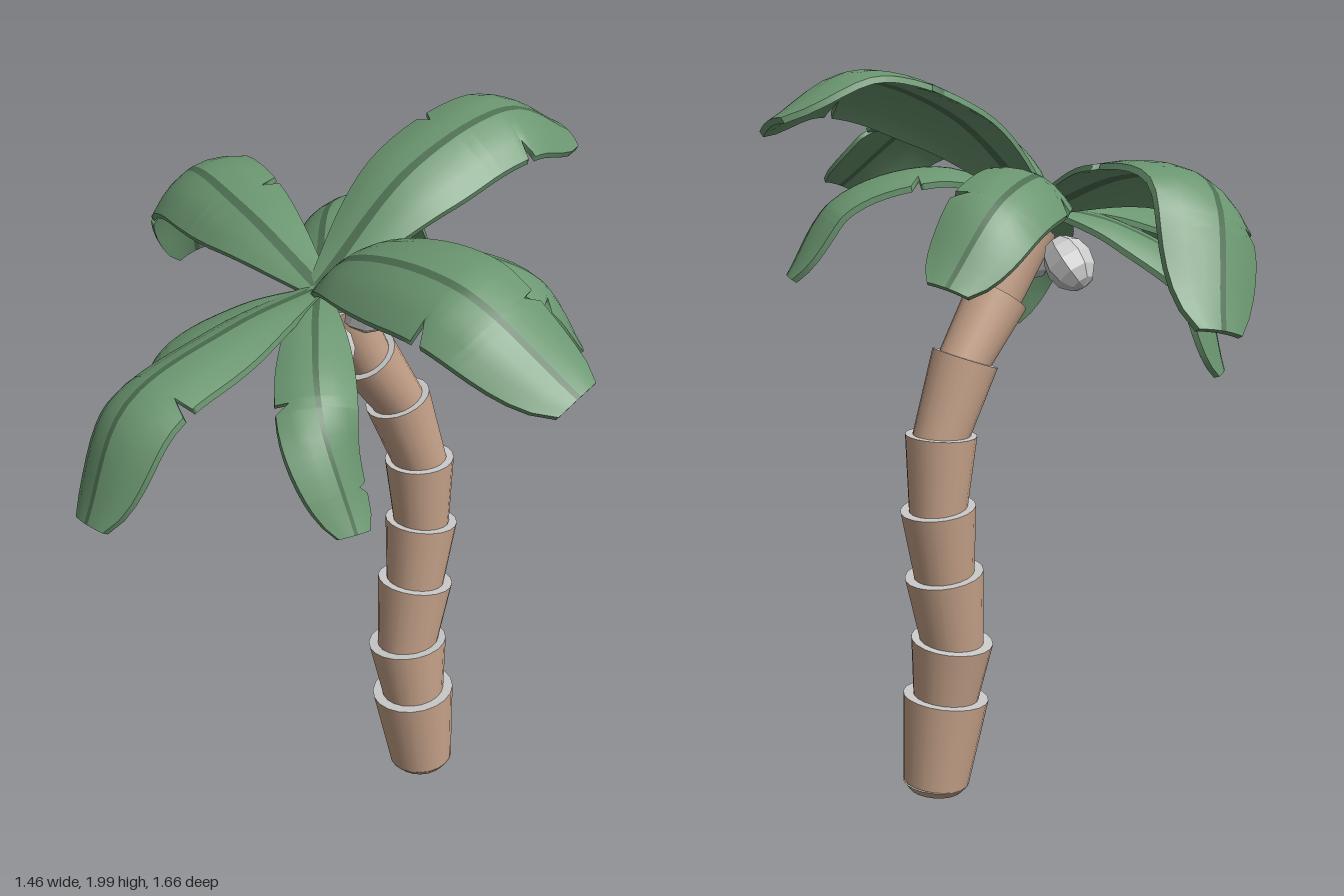
import * as THREE from 'three';
import { mergeGeometries } from 'three/addons/utils/BufferGeometryUtils.js';

const V = (x, y, z) => new THREE.Vector3(x, y, z);
const { lerp } = THREE.MathUtils;
const bark = new THREE.MeshStandardMaterial({ color: 0xc8a48b });
const grey = new THREE.MeshStandardMaterial({ color: 0xcccccc });
const nutMat = new THREE.MeshStandardMaterial({ color: 0xcccccc, flatShading: true });
const green = new THREE.MeshStandardMaterial({ color: 0x6b9670 });
const darkGreen = new THREE.MeshStandardMaterial({ color: 0x4c6e50 });

// Centres of the trunk joints, from the ground to the crown
const JOINTS = [
  V(0.286, 0.03, -0.05), V(0.254, 0.28, -0.047), V(0.237, 0.447, -0.058),
  V(0.26, 0.645, -0.07), V(0.277, 0.835, -0.081), V(0.265, 1.035, -0.077),
  V(0.193, 1.235, -0.06), V(0.093, 1.39, -0.02), V(0, 1.57, 0.01),
];
const CROWN = V(-0.05, 1.62, 0.035);

// Surface through rows of points
function grid(rows) {
  const n = rows[0].length, index = [];
  for (let i = 0; i < rows.length - 1; i++) {
    for (let j = 0; j < n - 1; j++) {
      const a = i * n + j, c = a + n;
      index.push(a, a + 1, c, a + 1, c + 1, c);
    }
  }
  const g = new THREE.BufferGeometry().setFromPoints(rows.flat());
  g.setIndex(index);
  g.computeVertexNormals();
  return g;
}

// Leaf width along its length: narrow stem, wide past the middle, blunt tip
function leafWidth(t) {
  const grow = 0.22 + 0.78 * Math.sin((Math.PI / 2) * Math.min(1, t / 0.52));
  const tip = t > 0.6 ? Math.sqrt(1 - ((t - 0.6) / 0.43) ** 3) : 1;
  return grow * tip;
}

// Share of the width left at t beside a notch: steep first side, sloping second side
function notchFactor(d) {
  if (d <= 0 || d >= 0.035) return 1;
  return d < 0.006 ? lerp(1, 0.68, d / 0.006) : lerp(0.68, 1, (d - 0.006) / 0.029);
}

// Arched leaf along a rib from the crown, with one notch in each edge; positive roll lifts the right edge
function makeLeaf(halfWidth, roll, leftNotch, rightNotch, ...ribPoints) {
  const curve = new THREE.CatmullRomCurve3([CROWN, ...ribPoints]);
  const chord = curve.getPoint(1).sub(CROWN).setY(0).normalize();
  const ts = Array.from({ length: 23 }, (_, i) => i / 22);
  for (const t of [leftNotch, rightNotch]) ts.push(t, t + 0.006, t + 0.035);
  ts.sort((a, b) => a - b);

  const top = [], under = [];
  for (const t of ts) {
    const p = curve.getPointAt(t), tangent = curve.getTangentAt(t);
    const side = tangent.clone().setY(0).addScaledVector(chord, 0.25).cross(V(0, 1, 0)).normalize();
    side.applyAxisAngle(tangent, -roll);
    const normal = side.clone().cross(tangent).normalize();
    const w = halfWidth * leafWidth(t), rib = 0.085 * halfWidth * (1.1 - 0.5 * t);
    const left = w * notchFactor(t - leftNotch), right = w * notchFactor(t - rightNotch);
    const steps = [0, 1 / 3, 2 / 3, 1];
    const across = [
      ...steps.map((k) => -lerp(left, rib, k)),
      ...steps.map((k) => lerp(rib, right, k)),
    ];
    const place = (x, depth) => p.clone().addScaledVector(side, x)
      .addScaledVector(normal, (-0.36 * x * x) / halfWidth - depth);
    top.push(across.map((x) => place(x, 0)));
    under.push(across.map((x) => place(x, 0.016)));
  }
  const cols = (rows, a, b) => rows.map((r) => r.slice(a, b));
  const flipped = (a, b) => cols(under, a, b).map((r) => r.reverse());
  const last = top.length - 1;
  const blade = new THREE.Mesh(mergeGeometries([
    grid(cols(top, 0, 4)), grid(cols(top, 4, 8)),
    grid(flipped(0, 4)), grid(flipped(4, 8)),
    grid(top.map((r, i) => [r[7], under[i][7]])),
    grid(top.map((r, i) => [under[i][0], r[0]])),
    grid([top[last], under[last]]), grid([under[0], top[0]]),
  ]), green);
  blade.name = 'leafBlade';
  const rib = new THREE.Mesh(mergeGeometries([grid(cols(top, 3, 5)), grid(flipped(3, 5))]), darkGreen);
  rib.name = 'leafRib';
  const leaf = new THREE.Group();
  leaf.name = 'leaf';
  leaf.add(blade, rib);
  return leaf;
}

// Flared trunk piece between two centres, with plain end caps
function trunkPiece(a, r0, b, r1, name) {
  const axis = b.clone().sub(a);
  const mesh = new THREE.Mesh(new THREE.CylinderGeometry(r1, r0, axis.length(), 20), [bark, grey, grey]);
  mesh.position.copy(a).lerp(b, 0.5);
  mesh.quaternion.setFromUnitVectors(V(0, 1, 0), axis.normalize());
  mesh.name = name;
  return mesh;
}

function makeTrunk() {
  const trunk = new THREE.Group();
  trunk.name = 'trunk';
  trunk.add(trunkPiece(V(0.288, 0.008, -0.05), 0.075, JOINTS[0], 0.093, 'trunkFoot'));
  for (let i = 0; i < JOINTS.length - 1; i++) {
    // Each piece starts a little inside the one below
    const from = JOINTS[i].clone();
    if (i > 0) from.lerp(JOINTS[i + 1], -0.12);
    const bottom = lerp(0.092, 0.065, i / 7);
    const flare = lerp(0.027, 0.014, i / 7);
    trunk.add(trunkPiece(from, bottom, JOINTS[i + 1], bottom + flare, 'trunkSegment'));
  }
  return trunk;
}

function makeLeaves() {
  const leaves = new THREE.Group();
  leaves.name = 'leaves';
  leaves.add(
    makeLeaf(0.148, 0.45, 0.74, 0.37, V(-0.18, 1.735, -0.26), V(-0.265, 1.735, -0.62), V(-0.22, 1.43, -0.825)),
    makeLeaf(0.122, 0.45, 0.42, 0.66, V(0.05, 1.73, -0.25), V(0.2, 1.68, -0.41), V(0.345, 1.5, -0.49)),
    makeLeaf(0.148, -0.35, 0.55, 0.7, V(0.22, 1.88, -0.06), V(0.52, 1.98, -0.175), V(0.72, 1.88, -0.27)),
    makeLeaf(0.1, 0, 0.42, 0.74, V(0.22, 1.72, 0.11), V(0.49, 1.64, 0.158), V(0.625, 1.44, 0.15)),
    makeLeaf(0.148, -0.45, 0.75, 0.62, V(-0.02, 1.78, 0.27), V(0.14, 1.815, 0.61), V(0.36, 1.61, 0.8)),
    makeLeaf(0.1, 0, 0.86, 0.55, V(-0.11, 1.59, 0.25), V(-0.15, 1.47, 0.47), V(-0.09, 1.2, 0.58)),
    makeLeaf(0.14, -0.15, 0.6, 0.58, V(-0.31, 1.6, 0.2), V(-0.6, 1.5, 0.37), V(-0.715, 1.24, 0.44)),
    makeLeaf(0.1, -0.25, 0.78, 0.55, V(-0.25, 1.565, -0.015), V(-0.45, 1.43, -0.07), V(-0.53, 1.16, -0.095)),
  );
  return leaves;
}

// Coconuts around the trunk top, long axis pointing outward
function makeCoconuts() {
  const nuts = new THREE.Group();
  nuts.name = 'coconuts';
  const places = [V(0.06, 1.56, 0.055), V(0.08, 1.59, -0.08), V(-0.04, 1.475, 0.115), V(-0.08, 1.48, -0.1)];
  for (const p of places) {
    const nut = new THREE.Mesh(new THREE.SphereGeometry(0.066, 8, 6), nutMat);
    nut.position.copy(p);
    nut.scale.y = 1.2;
    nut.quaternion.setFromUnitVectors(V(0, 1, 0), p.clone().sub(V(-0.02, 1.6, 0)).normalize());
    nut.name = 'coconut';
    nuts.add(nut);
  }
  return nuts;
}

export function createModel() {
  const model = new THREE.Group();
  model.name = 'palmTree';
  model.add(makeTrunk(), makeLeaves(), makeCoconuts());
  return model;
}
